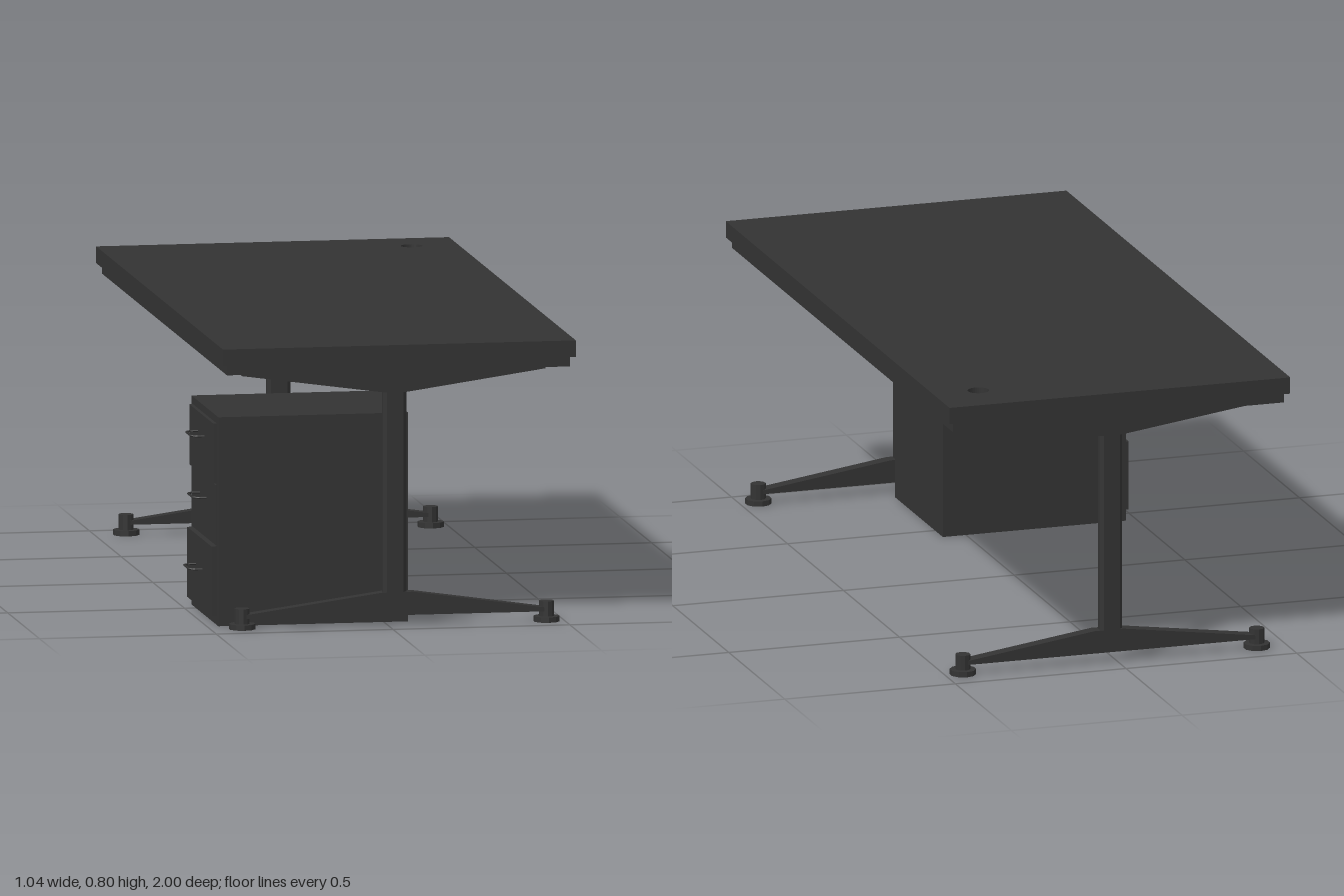
import * as THREE from 'three';

const material = new THREE.MeshStandardMaterial({ color: 0x333333, flatShading: true });

function add(parent, name, geometry, x = 0, y = 0, z = 0) {
  const mesh = new THREE.Mesh(geometry, material);
  mesh.name = name;
  mesh.position.set(x, y, z);
  parent.add(mesh);
  return mesh;
}

// Box given by its lower and upper corners
function box(parent, name, [x0, y0, z0], [x1, y1, z1]) {
  return add(parent, name, new THREE.BoxGeometry(x1 - x0, y1 - y0, z1 - z0),
    (x0 + x1) / 2, (y0 + y1) / 2, (z0 + z1) / 2);
}

function extrude(points, depth, hole) {
  const shape = new THREE.Shape(points.map(([x, y]) => new THREE.Vector2(x, y)));
  if (hole) shape.holes.push(hole);
  return new THREE.ExtrudeGeometry(shape, { depth, bevelEnabled: false, curveSegments: 16 });
}

// Horizontal slab with the round cable hole
function slab(parent, name, x0, x1, halfZ, y0, y1) {
  const hole = new THREE.Path().absarc(0.385, 0.855, 0.03, 0, Math.PI * 2, true);
  const outline = [[x0, -halfZ], [x1, -halfZ], [x1, halfZ], [x0, halfZ]];
  add(parent, name, extrude(outline, y1 - y0, hole), 0, y0, 0).rotation.x = -Math.PI / 2;
}

// T-shaped leg: tapered top bracket, chamfered post, tapered foot beam, two feet
function createLeg(z) {
  const leg = new THREE.Group();
  leg.name = 'leg';
  leg.position.z = z;
  const thick = 0.036;

  const bracket = [[-0.415, 0.727], [-0.415, 0.714], [-0.015, 0.658],
    [0.051, 0.658], [0.443, 0.714], [0.443, 0.727]];
  add(leg, 'topBracket', extrude(bracket, thick), 0, 0, -thick / 2);

  const w = 0.033, d = thick / 2, c = 0.01;
  const section = [[-w + c, -d], [w - c, -d], [w, -d + c], [w, d - c],
    [w - c, d], [-w + c, d], [-w, d - c], [-w, -d + c]];
  add(leg, 'post', extrude(section, 0.575), 0.018, 0.09, 0).rotation.x = -Math.PI / 2;

  const beam = [[-0.412, 0.03], [0.449, 0.03], [0.449, 0.04], [0.068, 0.095],
    [-0.015, 0.095], [-0.412, 0.04]];
  add(leg, 'footBeam', extrude(beam, thick), 0, 0, -thick / 2);

  for (const x of [-0.412, 0.449]) {
    add(leg, 'footPad', new THREE.CylinderGeometry(0.037, 0.037, 0.015, 10), x, 0.0075, 0);
    add(leg, 'footStem', new THREE.CylinderGeometry(0.021, 0.021, 0.045, 10), x, 0.0355, 0);
  }
  return leg;
}

// Drawer unit facing -x
function createCabinet() {
  const cabinet = new THREE.Group();
  cabinet.name = 'cabinet';
  const front = -0.468;
  box(cabinet, 'cabinetBody', [front, 0, 0.43], [0.068, 0.588, 0.855]);

  // bottom, top, front face, handle height, handle reach
  const drawers = [
    [0.398, 0.567, -0.478, 0.511, -0.513],
    [0.226, 0.394, -0.472, 0.338, -0.508],
    [0.025, 0.222, -0.484, 0.137, -0.519],
  ];
  for (const [y0, y1, face, handleY, reach] of drawers) {
    box(cabinet, 'drawerFront', [face, y0, 0.453], [front + 0.005, y1, 0.832]);
    const path = new THREE.CurvePath();
    const corners = [[face + 0.005, 0.587], [reach + 0.012, 0.587], [reach, 0.599],
      [reach, 0.676], [reach + 0.012, 0.688], [face + 0.005, 0.688]]
      .map(([x, z]) => new THREE.Vector3(x, handleY, z));
    for (let i = 0; i < 5; i++) path.add(new THREE.LineCurve3(corners[i], corners[i + 1]));
    add(cabinet, 'drawerHandle', new THREE.TubeGeometry(path, 40, 0.003, 6));
  }
  return cabinet;
}

export function createModel() {
  const desk = new THREE.Group();
  desk.name = 'desk';
  slab(desk, 'tabletop', -0.481, 0.517, 1, 0.753, 0.8);
  slab(desk, 'underTop', -0.467, 0.503, 0.986, 0.725, 0.753);
  desk.add(createLeg(0.917), createLeg(-0.911), createCabinet());
  return desk;
}
